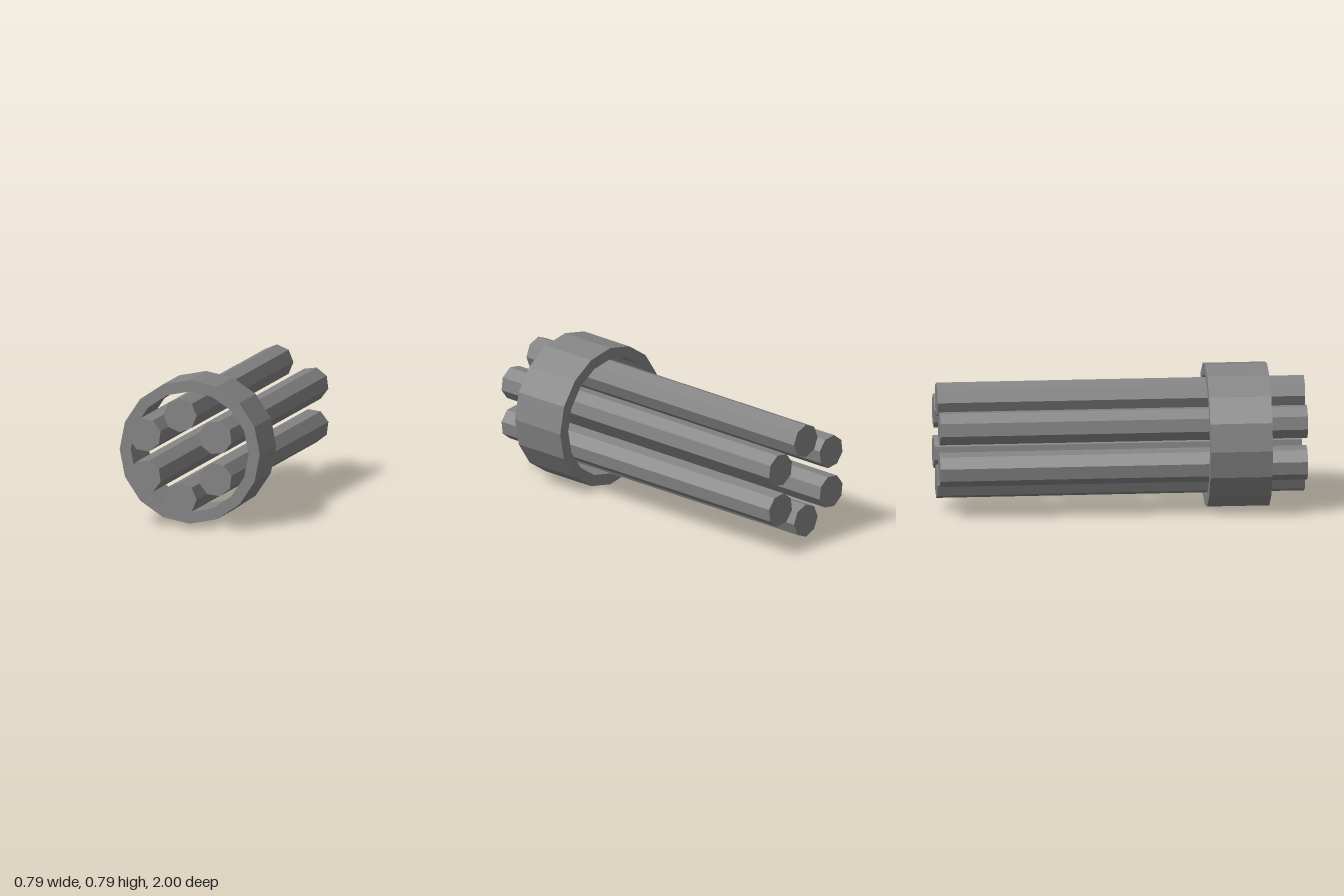
import * as THREE from 'three';

const CENTRE_Y = 0.394;

// Corners of a regular polygon
function polygon(radius, sides) {
  return Array.from({ length: sides }, (_, i) => {
    const a = (i / sides) * Math.PI * 2;
    return new THREE.Vector2(Math.cos(a) * radius, Math.sin(a) * radius);
  });
}

export function createModel() {
  const model = new THREE.Group();
  model.name = 'barrelCluster';
  const material = new THREE.MeshStandardMaterial({ color: 0x848484, flatShading: true });

  // Clamp ring around the front of the barrels
  const profile = new THREE.Shape(polygon(0.394, 16));
  profile.holes.push(new THREE.Path(polygon(0.331, 16).reverse()));
  const ringGeometry = new THREE.ExtrudeGeometry(profile, { depth: 0.338, bevelEnabled: false });
  const ring = new THREE.Mesh(ringGeometry, material);
  ring.name = 'clampRing';
  ring.position.set(0, CENTRE_Y, 0.462);
  model.add(ring);

  // Six octagonal barrels, each turned with a corner facing outward
  const barrelGeometry = new THREE.CylinderGeometry(0.093, 0.093, 2, 8);
  barrelGeometry.rotateX(Math.PI / 2);
  barrelGeometry.translate(0, 0.23, 0);
  for (let i = 0; i < 6; i++) {
    const barrel = new THREE.Mesh(barrelGeometry, material);
    barrel.name = `barrel${i + 1}`;
    barrel.position.y = CENTRE_Y;
    barrel.rotation.z = (i * Math.PI) / 3;
    model.add(barrel);
  }

  return model;
}
